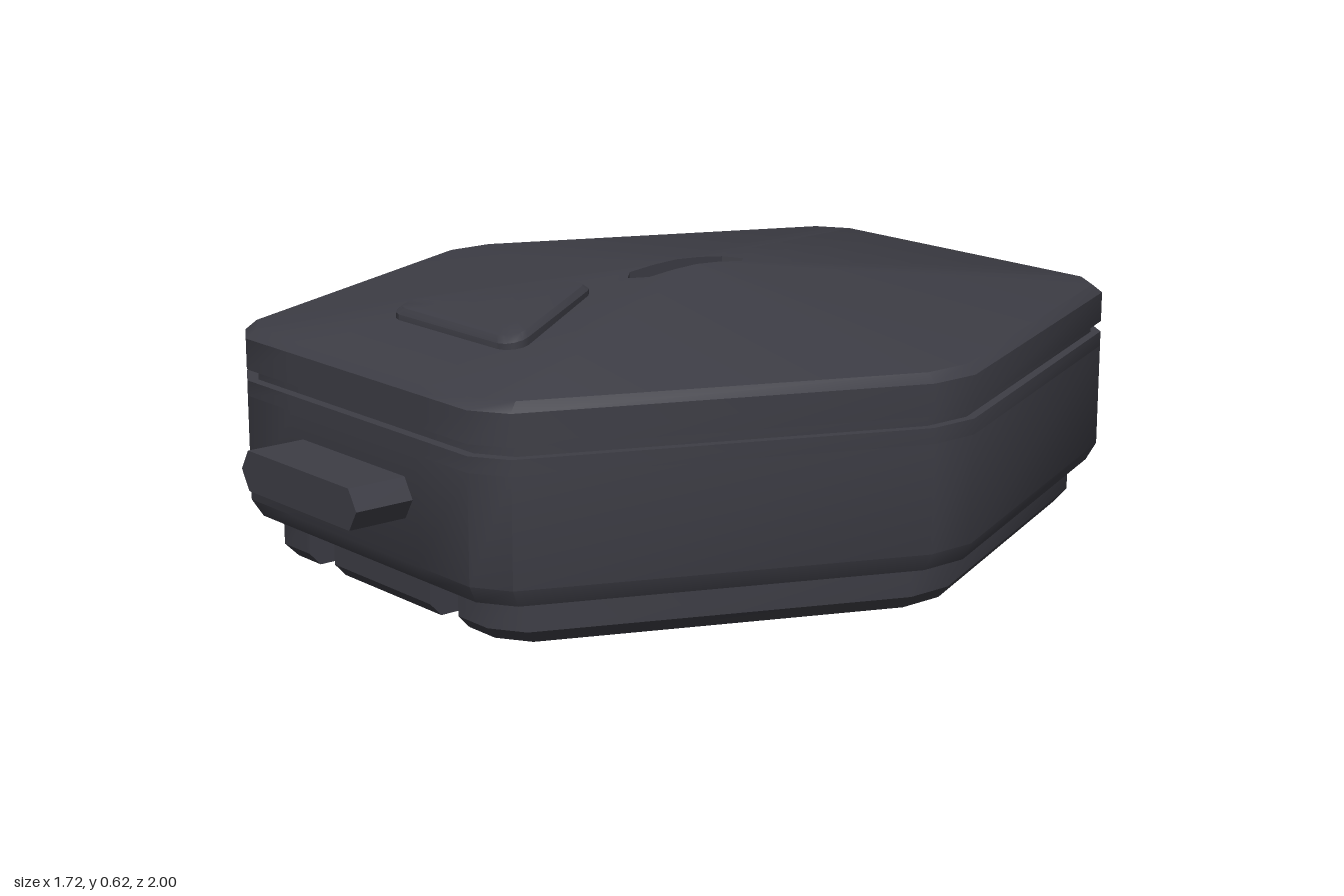
import * as THREE from 'three';
import { toCreasedNormals } from 'three/addons/utils/BufferGeometryUtils.js';

const CZ = -0.07; // centre of the hexagonal case along z
const shell = new THREE.MeshStandardMaterial({ color: 0x3d3d45 });
const gold = new THREE.MeshStandardMaterial({ color: 0xb5a032 });

// Mirrors a half outline (front to back, starting and ending on x = 0)
const mirror = (half) => [...half, ...half.slice(1, -1).reverse().map(([x, z]) => [-x, z])];

// Hexagonal case outline with clipped corners, optionally notched at front or back
function outline(s, { contacts = false, bay = 0 } = {}) {
  const at = (x, z) => [x * s, z * s + CZ];
  const front = 0.93 * s + CZ, back = -0.93 * s + CZ;
  return mirror([
    ...(contacts
      ? [[0, 0.6], [0.33, 0.6], [0.33, 0.7], [0.28, 0.7], [0.28, front]]
      : [at(0, 0.93), at(0.2325, 0.93)]),
    at(0.41, 0.93), at(0.49, 0.88), at(0.86, 0.06),
    at(0.86, -0.06), at(0.49, -0.88), at(0.41, -0.93),
    ...(bay
      ? [[bay, back], [bay, -0.5], [0, -0.5]]
      : [at(0.2325, -0.93), at(0, -0.93)]),
  ]);
}

// Skins a stack of rings [outline, height or height rule] and caps both ends
function loft(rings) {
  const n = rings[0][0].length, pos = [], index = [];
  for (const [pts, y] of rings)
    for (const [x, z] of pts) pos.push(x, typeof y === 'function' ? y(x, z) : y, z);
  for (let r = 0; r < rings.length - 1; r++)
    for (let i = 0; i < n; i++) {
      const a = r * n + i, b = r * n + (i + 1) % n;
      index.push(a, b, b + n, a, b + n, a + n);
    }
  const cap = (pts) => THREE.ShapeUtils.triangulateShape(pts.map(([x, z]) => new THREE.Vector2(x, -z)), []);
  for (const [a, b, c] of cap(rings[0][0])) index.push(c, b, a);
  const o = (rings.length - 1) * n;
  for (const [a, b, c] of cap(rings[rings.length - 1][0])) index.push(o + a, o + b, o + c);
  const g = new THREE.BufferGeometry();
  g.setAttribute('position', new THREE.Float32BufferAttribute(pos, 3));
  g.setIndex(index);
  return toCreasedNormals(g, 0.62);
}

export function createModel() {
  const group = new THREE.Group();
  const add = (name, geometry, material = shell) => {
    const m = new THREE.Mesh(geometry, material);
    m.name = name;
    group.add(m);
    return m;
  };

  // Stepped base with the contact trough, open to the rear bay above its floor
  add('baseFloor', loft([
    [outline(0.9, { contacts: true }), 0],
    [outline(0.93, { contacts: true }), 0.03],
  ]));
  const baseCut = outline(0.93, { contacts: true, bay: 0.37 });
  add('baseWall', loft([[baseCut, 0.03], [baseCut, 0.1]]));

  // Lip between the two front notches
  const lip = (front) => [[-0.18, front], [0.18, front], [0.18, 0.7], [-0.18, 0.7]];
  add('contactLip', loft([[lip(0.767), 0], [lip(0.795), 0.03], [lip(0.795), 0.1]]));

  // Main body around the rear bay, then the solid band above it
  add('body', loft([
    [outline(0.975, { bay: 0.39 }), 0.1],
    [outline(1, { bay: 0.39 }), 0.14],
    [outline(1, { bay: 0.39 }), 0.38],
  ]));
  add('bodyTop', loft([[outline(1), 0.38], [outline(1), 0.415]]));
  add('seamGroove', loft([[outline(0.975), 0.41], [outline(0.975), 0.445]]));

  // Lid: chamfered rim, shallow pyramid roof and a slot sunk in its peak
  const rim = outline(0.975);
  const slotScale = ([x, z]) => {
    const ax = Math.abs(x);
    if (ax < 1e-6) return 0.175 / Math.abs(z - CZ);
    return 0.035 / ax;
  };
  const scales = rim.map(slotScale);
  const slot = rim.map(([x, z], i) => [x * scales[i], CZ + (z - CZ) * scales[i]]);
  const roofY = new Map(slot.map(([x, z], i) => [`${x},${z}`, 0.628 - 0.098 * scales[i]]));
  add('lid', loft([
    [outline(1), 0.44],
    [outline(1), 0.51],
    [rim, 0.53],
    [slot, (x, z) => roofY.get(`${x},${z}`)],
    [slot, 0.575],
  ]));

  // Triangular button with rounded corners and a gently curved top
  const corners = [[0, 0.265, 90], [-0.18, 0.57, 210], [0.18, 0.57, 330]];
  const tri = [];
  for (const [x, z, mid] of corners)
    for (let k = -2; k <= 2; k++) {
      const a = THREE.MathUtils.degToRad(mid + k * 30);
      tri.push([x + 0.038 * Math.cos(a), z - 0.038 * Math.sin(a)]);
    }
  const shrink = (s) => tri.map(([x, z]) => [x * s, 0.468 + (z - 0.468) * s]);
  const crown = (x, z) => 0.618 - 0.27 * (z - 0.23) ** 2;
  add('button', loft([
    [tri, 0.535],
    [tri, (x, z) => crown(x, z) - 0.012],
    [shrink(0.93), crown],
    [shrink(0.6), crown],
    [shrink(0.25), crown],
  ]));

  // Plug with pointed sides projecting from the front
  const plug = new THREE.Shape([
    [0.217, 0.28], [0.19, 0.325], [-0.19, 0.325],
    [-0.217, 0.28], [-0.19, 0.235], [0.19, 0.235],
  ].map(([x, y]) => new THREE.Vector2(x, y)));
  add('frontPlug', new THREE.ExtrudeGeometry(plug, { depth: 0.2, bevelEnabled: false }))
    .position.z = 0.8;

  // Row of spring contacts hanging in the trough
  const pin = new THREE.CapsuleGeometry(0.03, 0.06, 4, 14);
  for (let i = 0; i < 6; i++)
    add('contactPin', pin, gold).position.set((i - 2.5) * 0.09, 0.085, 0.655);

  return group;
}
